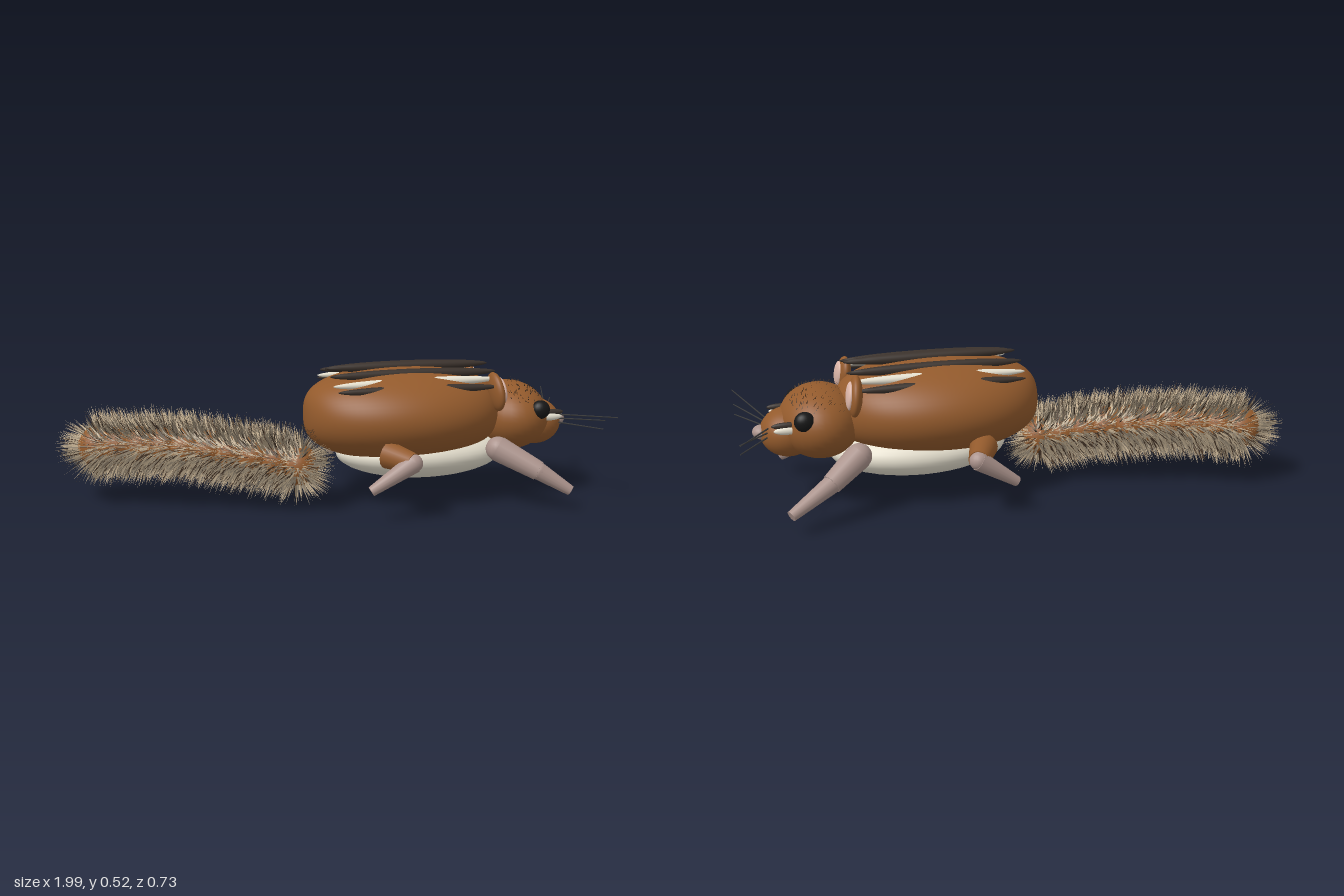
import * as THREE from 'three';

const V = (x, y, z) => new THREE.Vector3(x, y, z);
const MID = 0.015; // the animal's mid plane in z

function material(name, color) {
  const m = new THREE.MeshStandardMaterial({ color });
  m.name = name;
  return m;
}

export function createModel() {
  const mats = {
    fur: material('brown fur', 0x935a2c),
    cream: material('cream', 0xe6e0cf),
    stripe: material('dark stripe', 0x3b322c),
    skin: material('paw skin', 0xab938c),
    earPink: material('ear pink', 0xdbb5a8),
    eye: material('eye black', 0x161616),
    whisker: material('whisker grey', 0x3a3a3a),
    tanHair: material('tan hair', 0xc2ae90),
    greyHair: material('grey hair', 0x9a8c78),
    darkHair: material('dark hair', 0x4a382a),
  };
  const root = new THREE.Group();
  root.name = 'rodent';

  const add = (name, geo, mat) => {
    const mesh = new THREE.Mesh(geo, mat);
    mesh.name = name;
    root.add(mesh);
    return mesh;
  };
  const ball = (name, mat, p, r, seg = 32) => {
    const mesh = add(name, new THREE.SphereGeometry(1, seg, seg * 0.75), mat);
    mesh.position.set(...p);
    mesh.scale.set(...r);
    return mesh;
  };
  // Tapered rod between two points
  const rod = (name, mat, a, b, ra, rb, seg = 16) => {
    const d = b.clone().sub(a);
    const mesh = add(name, new THREE.CylinderGeometry(rb, ra, d.length(), seg), mat);
    mesh.position.copy(a).addScaledVector(d, 0.5);
    mesh.quaternion.setFromUnitVectors(V(0, 1, 0), d.normalize());
    return mesh;
  };

  // Body: oval from above, blunter towards the ends from the side
  const bodyGeo = new THREE.SphereGeometry(1, 64, 48);
  bodyGeo.rotateZ(-Math.PI / 2);
  const pos = bodyGeo.attributes.position;
  for (let i = 0; i < pos.count; i++) {
    const c = Math.sqrt(Math.max(0.0001, 1 - pos.getX(i) ** 2));
    pos.setY(i, pos.getY(i) * Math.pow(c, -0.36));
    pos.setZ(i, pos.getZ(i) * Math.pow(c, -0.04));
  }
  bodyGeo.computeVertexNormals();
  const body = add('body', bodyGeo, mats.fur);
  body.position.set(0.285, 0.335, MID);
  body.scale.set(0.372, 0.172, 0.28);
  ball('belly', mats.cream, [0.36, 0.185, 0.01], [0.325, 0.098, 0.21]);

  // Back stripes, whose outer pairs sink into the fur at mid length
  ball('backStripe', mats.stripe, [0.305, 0.505, MID], [0.315, 0.021, 0.023], 20);
  for (const s of [-1, 1]) {
    ball('innerStripe', mats.stripe, [0.305, 0.488, MID + s * 0.088], [0.315, 0.02, 0.018], 20);
    const pale = ball('paleStripe', mats.cream, [0.3, 0.463, MID + s * 0.131], [0.31, 0.019, 0.02], 20);
    pale.rotation.z = 0.012;
    ball('outerStripe', mats.stripe, [0.3, 0.444, MID + s * 0.17], [0.3, 0.018, 0.019], 20);
  }

  // Head, muzzle and nose
  ball('head', mats.fur, [0.71, 0.305, 0.012], [0.145, 0.13, 0.19]);
  ball('muzzle', mats.fur, [0.82, 0.273, 0.01], [0.1, 0.088, 0.104]);
  ball('nose', mats.skin, [0.915, 0.278, 0.01], [0.03, 0.025, 0.034], 20);

  for (const s of [-1, 1]) {
    const z = (d) => MID + s * d;
    // Ears with pink inner faces
    const ear = ball('ear', mats.fur, [0.6, 0.421, z(0.146)], [0.025, 0.073, 0.058]);
    ear.rotation.set(-s * 0.45, 0, 0.12);
    const inner = ball('innerEar', mats.earPink, [0.618, 0.425, z(0.15)], [0.015, 0.05, 0.041]);
    inner.rotation.copy(ear.rotation);
    // Eyes and cheek markings
    ball('eye', mats.eye, [0.775, 0.347, z(0.154)], [0.036, 0.035, 0.03], 24);
    ball('cheekStripe', mats.stripe, [0.835, 0.328, z(0.117)], [0.05, 0.012, 0.01], 16);
    ball('paleCheekStripe', mats.cream, [0.828, 0.311, z(0.121)], [0.05, 0.014, 0.012], 16);
    // Whiskers
    [[0.305, 0.342, 0.332], [0.29, 0.313, 0.24], [0.275, 0.278, 0.23]].forEach(([y0, y1, d]) =>
      rod('whisker', mats.whisker, V(0.89, y0, z(0.056)), V(0.995, y1, z(d)), 0.003, 0.002, 6));
  }

  // Limbs: [root, joint, tip] for each side
  const foreLegs = [
    [V(0.6, 0.215, 0.2), V(0.725, 0.145, 0.285), V(0.835, 0.075, 0.325)],
    [V(0.6, 0.215, -0.16), V(0.705, 0.145, -0.22), V(0.85, 0.075, -0.295)],
  ];
  for (const [a, b, c] of foreLegs) {
    ball('shoulder', mats.skin, a.toArray(), [0.045, 0.045, 0.045], 20);
    rod('upperForeLeg', mats.skin, a, b, 0.047, 0.036);
    ball('elbow', mats.skin, b.toArray(), [0.033, 0.033, 0.033], 16);
    rod('forePaw', mats.skin, b, c, 0.033, 0.019);
  }
  const hindLegs = [
    [V(0.17, 0.225, 0.24), V(0.235, 0.212, 0.33), V(0.085, 0.118, 0.325)],
    [V(0.17, 0.225, -0.21), V(0.215, 0.212, -0.315), V(0.075, 0.118, -0.305)],
  ];
  for (const [a, b, c] of hindLegs) {
    rod('thigh', mats.fur, a, b, 0.05, 0.036);
    ball('knee', mats.skin, b.toArray(), [0.033, 0.033, 0.033], 16);
    rod('hindPaw', mats.skin, b, c, 0.035, 0.018);
  }

  // Tail: chain of overlapping balls along a curve
  const tail = new THREE.CatmullRomCurve3([
    V(-0.115, 0.155, 0.045), V(-0.3, 0.188, -0.015), V(-0.58, 0.215, -0.115), V(-0.83, 0.205, -0.21),
  ]);
  for (let i = 0; i < 10; i++) {
    ball('tailSegment', mats.fur, tail.getPointAt(i / 9).toArray(), [0.073, 0.076, 0.073], 20);
  }

  // Hairs: flat tapering blades, seeded, facing away from the skin
  let seed = 11;
  const rand = () => (seed = (seed * 16807) % 2147483647) / 2147483647;
  const coat = {};
  for (const k of ['tanHair', 'greyHair', 'darkHair']) coat[k] = { points: [], normals: [] };
  const blade = (kind, base, dir, out, len, width) => {
    const w = V(-dir.z, (rand() - 0.5) * 0.7, dir.x).normalize().multiplyScalar(width / 2);
    if (w.clone().cross(dir).dot(out) < 0) w.negate();
    const tip = base.clone().addScaledVector(dir, len);
    for (const p of [base.clone().sub(w), base.clone().add(w), tip]) {
      coat[kind].points.push(...p.toArray());
      coat[kind].normals.push(...out.toArray());
    }
  };

  // Tail coat, fanning out at both ends
  const kinds = ['tanHair', 'tanHair', 'tanHair', 'greyHair', 'greyHair', 'darkHair'];
  for (let i = 0; i < 9500; i++) {
    const u = rand() * 1.16 - 0.08; // beyond 0..1 the hairs crowd on the end balls
    const t = THREE.MathUtils.clamp(u, 0, 1);
    const c = tail.getPointAt(t), along = tail.getTangentAt(t);
    const side = V(0, 1, 0).cross(along).normalize();
    const a = rand() * Math.PI * 2;
    const out = along.clone().cross(side).multiplyScalar(Math.cos(a)).addScaledVector(side, Math.sin(a));
    let lean = 0.1 + rand() * 0.7;
    if (u > 1) {
      lean = rand() * 3;
      out.addScaledVector(along, lean).normalize();
    } else if (u < 0) {
      lean = -rand() * 1.5;
      out.addScaledVector(along, lean).normalize();
    }
    const base = c.addScaledVector(out, 0.068);
    const dir = out.clone().addScaledVector(along, lean * 0.8).normalize();
    blade(kinds[Math.floor(rand() * 6)], base, dir, out, 0.035 + rand() * 0.06, 0.009);
  }

  // Short bristles on the crown and the rump
  const bristles = (count, center, radii, len, pick) => {
    for (let i = 0; i < count; i++) {
      const n = pick();
      const out = n.clone().divide(radii).normalize();
      const dir = out.clone().add(V(-0.5, 0.1, 0)).normalize();
      blade('darkHair', n.multiply(radii).add(center), dir, out, len, 0.004);
    }
  };
  bristles(150, V(0.71, 0.305, 0.012), V(0.144, 0.129, 0.189), 0.014,
    () => V(rand() * 1.4 - 0.5, 0.5 + rand() * 0.7, rand() * 2 - 1).normalize());
  bristles(150, V(0.285, 0.335, MID), V(0.368, 0.169, 0.276), 0.03,
    () => V(-1, -0.2 - rand() * 0.5, rand() * 0.7 - 0.35).normalize());

  for (const [kind, { points, normals }] of Object.entries(coat)) {
    const geo = new THREE.BufferGeometry();
    geo.setAttribute('position', new THREE.Float32BufferAttribute(points, 3));
    geo.setAttribute('normal', new THREE.Float32BufferAttribute(normals, 3));
    mats[kind].side = THREE.DoubleSide;
    add(kind, geo, mats[kind]);
  }
  return root;
}
